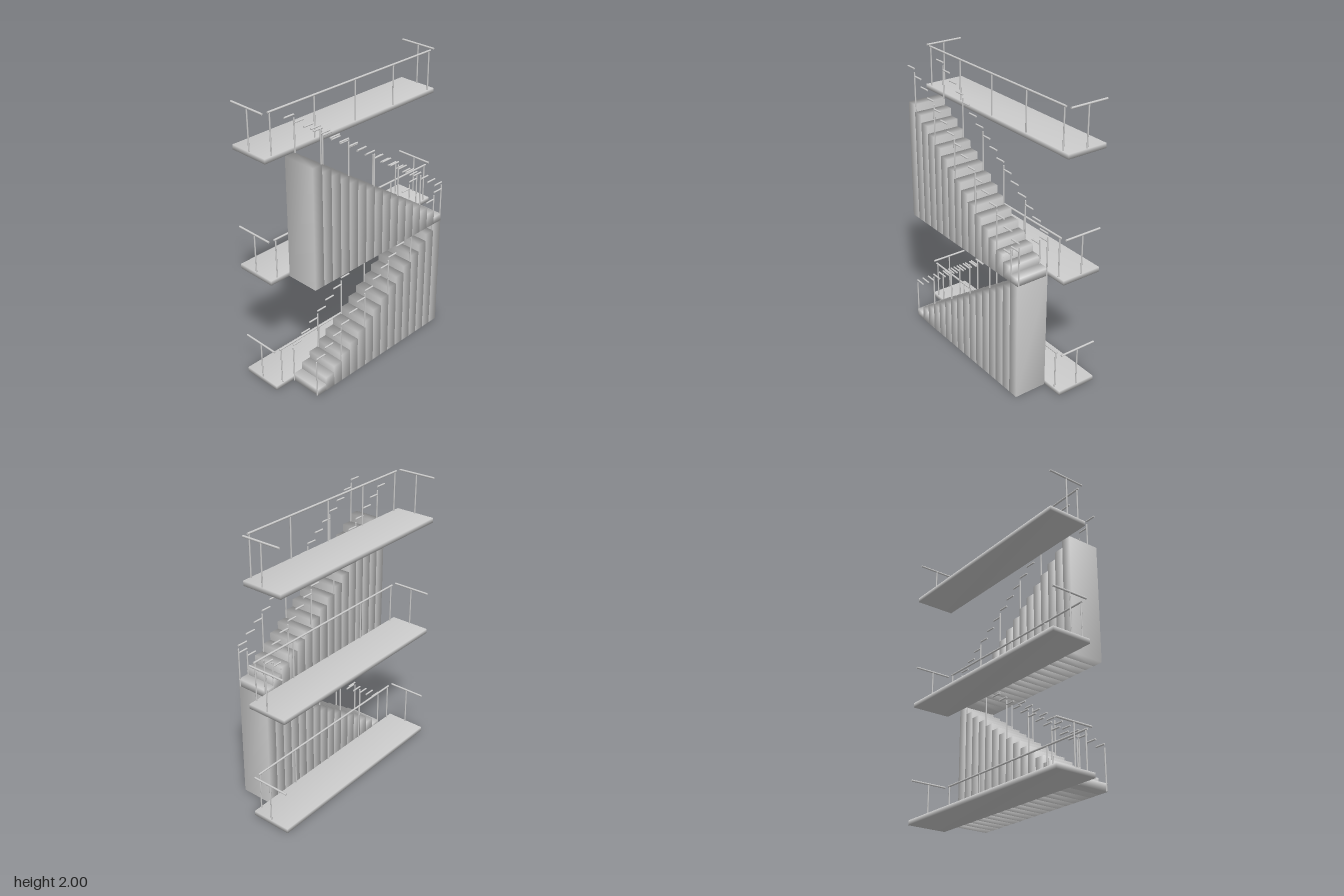
import * as THREE from 'three';
import { mergeVertices } from 'three/addons/utils/BufferGeometryUtils.js';

const FLOOR = 0.843;          // storey height
const STEPS = 16;
const RISE = FLOOR / STEPS;
const HALF = 0.605;           // half length of a flight
const TREAD = (2 * HALF) / STEPS;
const material = new THREE.MeshStandardMaterial({ color: 0xcccccc });

// Box between two corners, with normals blended across its edges
function softBox(name, x0, x1, y0, y1, z0, z1) {
  let geometry = new THREE.BoxGeometry(x1 - x0, y1 - y0, z1 - z0);
  geometry.deleteAttribute('normal');
  geometry.deleteAttribute('uv');
  geometry = mergeVertices(geometry);
  geometry.computeVertexNormals();
  geometry.translate((x0 + x1) / 2, (y0 + y1) / 2, (z0 + z1) / 2);
  const mesh = new THREE.Mesh(geometry, material);
  mesh.name = name;
  return mesh;
}

// Round bar between two points
function bar(name, from, to, radius) {
  const a = new THREE.Vector3(...from);
  const b = new THREE.Vector3(...to);
  const mesh = new THREE.Mesh(new THREE.CylinderGeometry(radius, radius, a.distanceTo(b), 10), material);
  mesh.position.copy(a).add(b).multiplyScalar(0.5);
  mesh.quaternion.setFromUnitVectors(new THREE.Vector3(0, 1, 0), b.sub(a).normalize());
  mesh.name = name;
  return mesh;
}

// Landing slab with a long front railing and a short railing at each end
function createLanding() {
  const group = new THREE.Group();
  const railY = 0.309;
  group.add(softBox('landingSlab', -0.758, 0.758, 0, 0.033, -0.265, 0.025));
  for (let i = -2; i <= 2; i++) {
    group.add(bar('frontRailPost', [i * 0.35, 0.03, 0.018], [i * 0.35, railY, 0.018], 0.005));
  }
  group.add(bar('frontHandrail', [-0.713, railY, 0.018], [0.713, railY, 0.018], 0.007));
  for (const side of [-1, 1]) {
    const x = side * 0.752;
    group.add(bar('endRailPost', [x, 0.03, -0.12], [x, railY, -0.12], 0.005));
    group.add(bar('endHandrail', [x, railY, 0.015], [x, railY, -0.258], 0.007));
  }
  return group;
}

// Flight of solid steps; dir = 1 climbs towards +x, -1 towards -x
function createFlight(dir) {
  const group = new THREE.Group();
  for (let i = 0; i < STEPS; i++) {
    const start = dir * (-HALF + i * TREAD);
    const end = start + dir * TREAD;
    const top = (i + 1) * RISE;
    group.add(softBox('step', Math.min(start, end), Math.max(start, end), 0, top, 0.027, 0.263));
    for (const z of [0.034, 0.255]) {
      group.add(bar('handrailSegment', [start, top + 0.246, z], [end, top + 0.246, z], 0.006));
      // a post on every third step
      if (i % 3 === 0) group.add(bar('stairPost', [start, i * RISE, z], [start, top + 0.223, z], 0.005));
    }
  }
  return group;
}

export function createModel() {
  const model = new THREE.Group();
  model.name = 'staircase';
  ['lower', 'middle', 'upper'].forEach((level, i) => {
    const landing = createLanding();
    landing.name = level + 'Landing';
    landing.position.y = i * FLOOR;
    model.add(landing);
  });
  [1, -1].forEach((dir, i) => {
    const flight = createFlight(dir);
    flight.name = i ? 'upperFlight' : 'lowerFlight';
    flight.position.y = i * FLOOR;
    model.add(flight);
  });
  return model;
}
